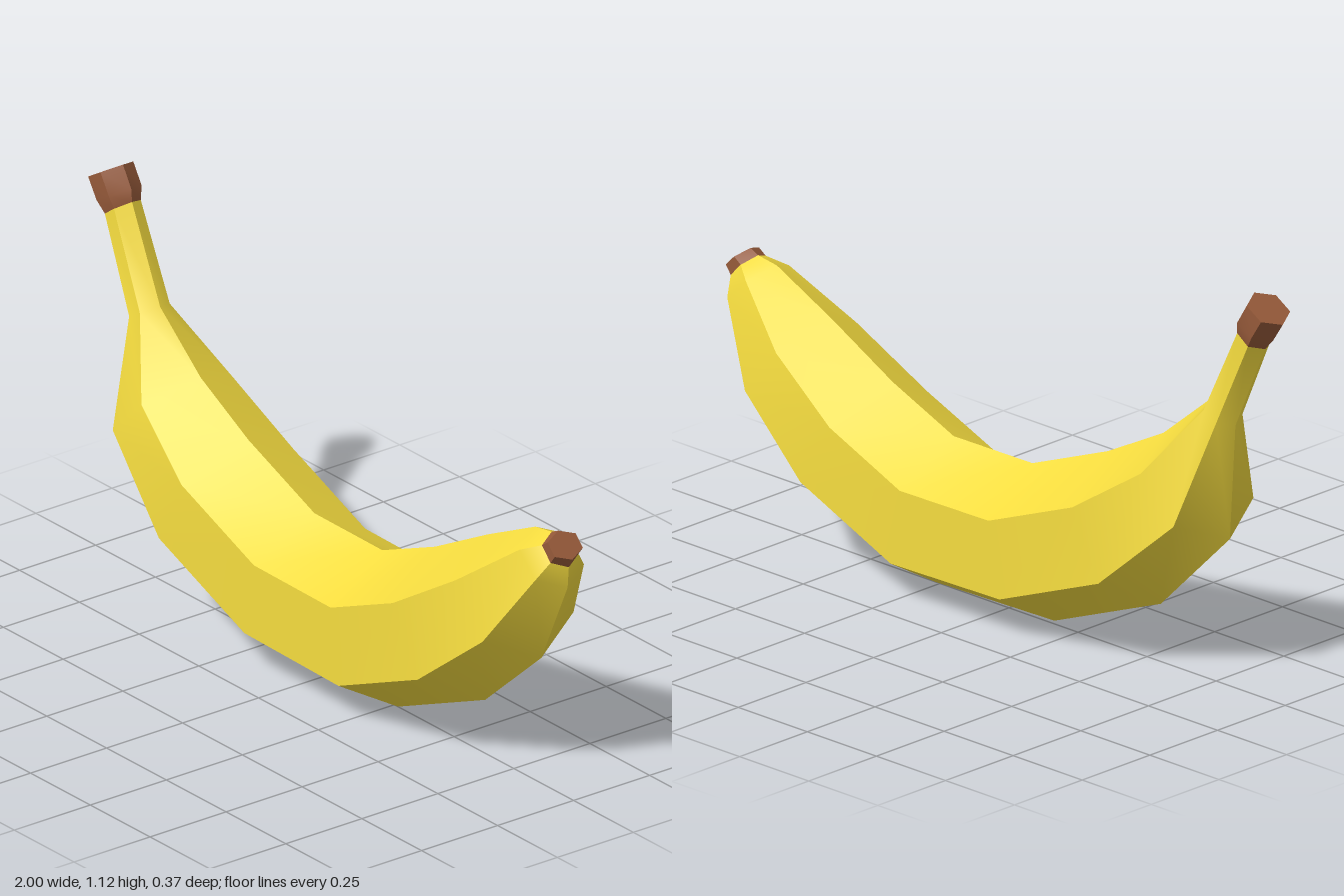
import * as THREE from 'three';

// Each ring: [outerX, outerY, innerX, innerY, halfWidth, centreZ]
const stemBase = [-0.935, 0.975, -0.858, 1.03, 0.044, -0.008];
const tipBase = [0.98, 0.66, 0.908, 0.735, 0.046, 0];

const peelRings = [
  stemBase,
  [-0.82, 0.73, -0.73, 0.78, 0.049, 0],
  [-0.8, 0.41, -0.56, 0.64, 0.148, 0],
  [-0.55, 0.163, -0.36, 0.535, 0.183, 0],
  [-0.165, 0.012, -0.085, 0.427, 0.183, 0],
  [0.265, 0.003, 0.2, 0.425, 0.183, 0],
  [0.63, 0.155, 0.42, 0.515, 0.181, 0],
  [0.865, 0.36, 0.64, 0.63, 0.15, 0],
  [0.975, 0.6, 0.84, 0.725, 0.08, 0],
  tipBase,
];
const stemCapRings = [
  [-1.0, 1.06, -0.897, 1.122, 0.054, -0.009],
  [-0.965, 1.007, -0.862, 1.065, 0.054, -0.009],
  stemBase,
];
const tipCapRings = [tipBase, [0.995, 0.687, 0.935, 0.748, 0.046, 0]];

// Six corners of a ring: outer ridge, +z side, inner ridge, -z side
function corners([ox, oy, ix, iy, w, z]) {
  return [[0, 0], [0.25, 1], [0.75, 1], [1, 0], [0.75, -1], [0.25, -1]].map(
    ([t, s]) => [ox + (ix - ox) * t, oy + (iy - oy) * t, z + s * w]);
}

// Six separate strips: smooth along the length, sharp across the ridges
function loft(name, rings, color, capStart, capEnd) {
  const loops = rings.map(corners);
  const pos = [], index = [];
  for (let k = 0; k < 6; k++) {
    const base = pos.length / 3;
    loops.forEach((c, i) => {
      pos.push(...c[k], ...c[(k + 1) % 6]);
      if (i === 0) return;
      const a = base + (i - 1) * 2;
      index.push(a, a + 2, a + 3, a, a + 3, a + 1);
    });
  }
  // Flat end faces
  const addCap = (loop) => {
    const base = pos.length / 3;
    loop.forEach((p) => pos.push(...p));
    for (let k = 1; k < 5; k++) index.push(base, base + k, base + k + 1);
  };
  if (capStart) addCap(loops[0]);
  if (capEnd) addCap([...loops[loops.length - 1]].reverse());

  const geometry = new THREE.BufferGeometry();
  geometry.setAttribute('position', new THREE.Float32BufferAttribute(pos, 3));
  geometry.setIndex(index);
  geometry.computeVertexNormals();
  const mesh = new THREE.Mesh(geometry, new THREE.MeshStandardMaterial({ color }));
  mesh.name = name;
  return mesh;
}

export function createModel() {
  const group = new THREE.Group();
  group.name = 'banana';
  group.add(
    loft('peel', peelRings, 0xf5dc3f, false, false),
    loft('stemCap', stemCapRings, 0x965a3a, true, false),
    loft('tipCap', tipCapRings, 0x965a3a, false, true),
  );
  return group;
}
